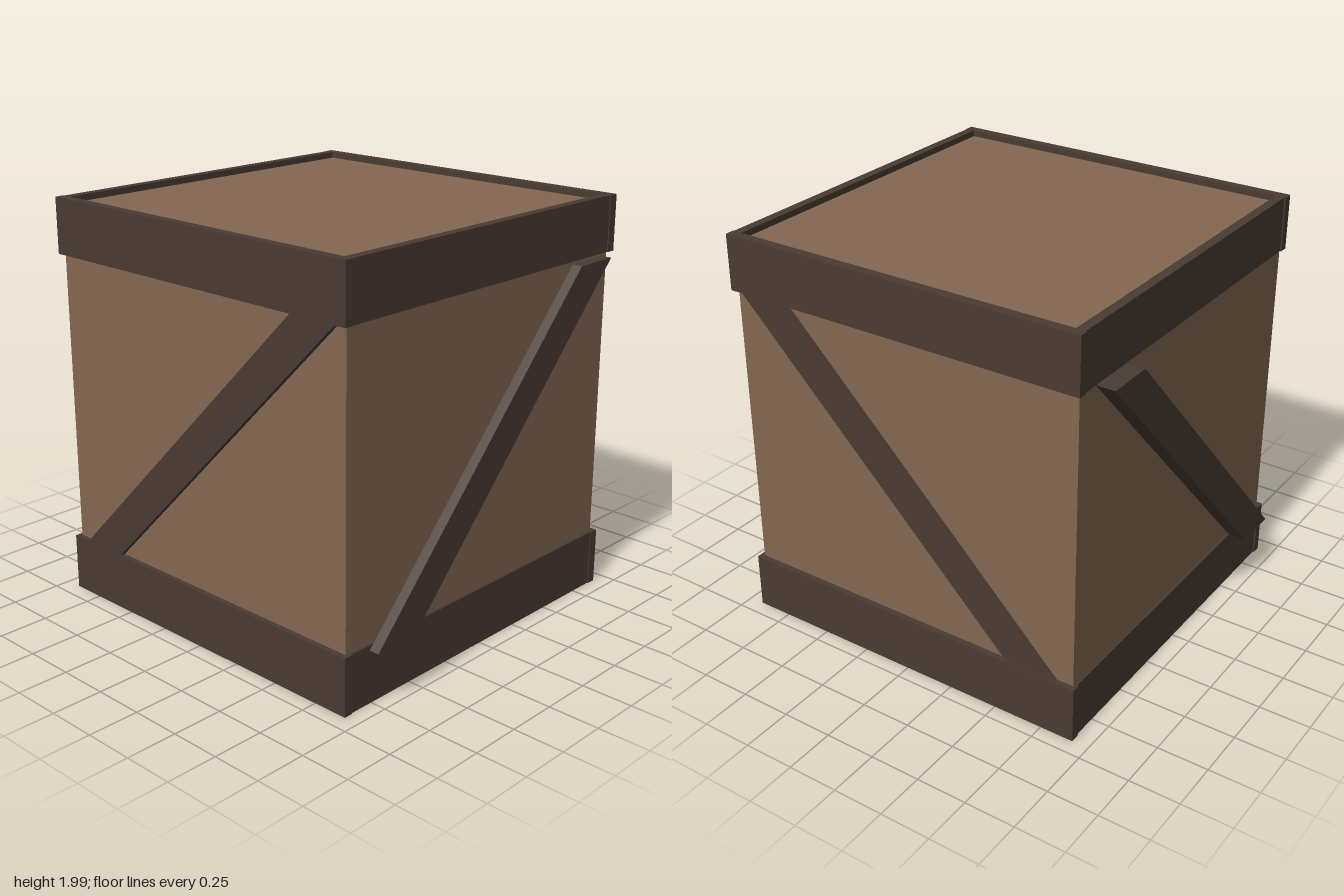
import * as THREE from 'three';

const panelMaterial = new THREE.MeshStandardMaterial({ color: 0x846752 });
const trimMaterial = new THREE.MeshStandardMaterial({ color: 0x4a3b33 });

// Box given by its minimum and maximum corners
function boxBetween(name, min, max, material) {
  const size = max.map((v, i) => v - min[i]);
  const mesh = new THREE.Mesh(new THREE.BoxGeometry(...size), material);
  mesh.position.set(...max.map((v, i) => (v + min[i]) / 2));
  mesh.name = name;
  return mesh;
}

// Slanted plank with level ends, extruded along +z from z = 0
function brace(name, bottom, top, depth) {
  const shape = new THREE.Shape([
    new THREE.Vector2(bottom[0], 0.28),
    new THREE.Vector2(bottom[1], 0.28),
    new THREE.Vector2(top[1], 1.715),
    new THREE.Vector2(top[0], 1.715),
  ]);
  const geometry = new THREE.ExtrudeGeometry(shape, { depth, bevelEnabled: false });
  const mesh = new THREE.Mesh(geometry, trimMaterial);
  mesh.name = name;
  return mesh;
}

export function createModel() {
  const crate = new THREE.Group();
  crate.name = 'crate';

  // Crate body, slightly recessed inside the rims
  crate.add(boxBetween('body', [-0.9, 0.035, -0.897], [0.905, 1.955, 0.895], panelMaterial));

  // Bands of four boards around the bottom and the top
  for (const [label, y0, y1] of [['bottom', 0, 0.28], ['top', 1.715, 1.985]]) {
    const band = new THREE.Group();
    band.name = `${label}Band`;
    band.add(
      boxBetween('frontBoard', [-0.918, y0, 0.875], [0.925, y1, 0.921], trimMaterial),
      boxBetween('backBoard', [-0.918, y0, -0.925], [0.925, y1, -0.879], trimMaterial),
      boxBetween('leftBoard', [0.875, y0, -0.879], [0.92, y1, 0.875], trimMaterial),
      boxBetween('rightBoard', [-0.911, y0, -0.879], [-0.866, y1, 0.875], trimMaterial),
    );
    crate.add(band);
  }

  // Diagonal braces on the front and back
  for (const [name, z] of [['frontBrace', 0.871], ['backBrace', -0.921]]) {
    const plank = brace(name, [-0.815, -0.565], [0.615, 0.865], 0.05);
    plank.position.z = z;
    crate.add(plank);
  }

  // Diagonal braces on the sides, standing off the body
  for (const [name, x, depth] of [['leftBrace', 0.95, 0.05], ['rightBrace', -1, 0.09]]) {
    const plank = brace(name, [-0.795, -0.56], [0.56, 0.795], depth);
    plank.rotation.y = Math.PI / 2;
    plank.position.x = x;
    crate.add(plank);
  }

  return crate;
}
